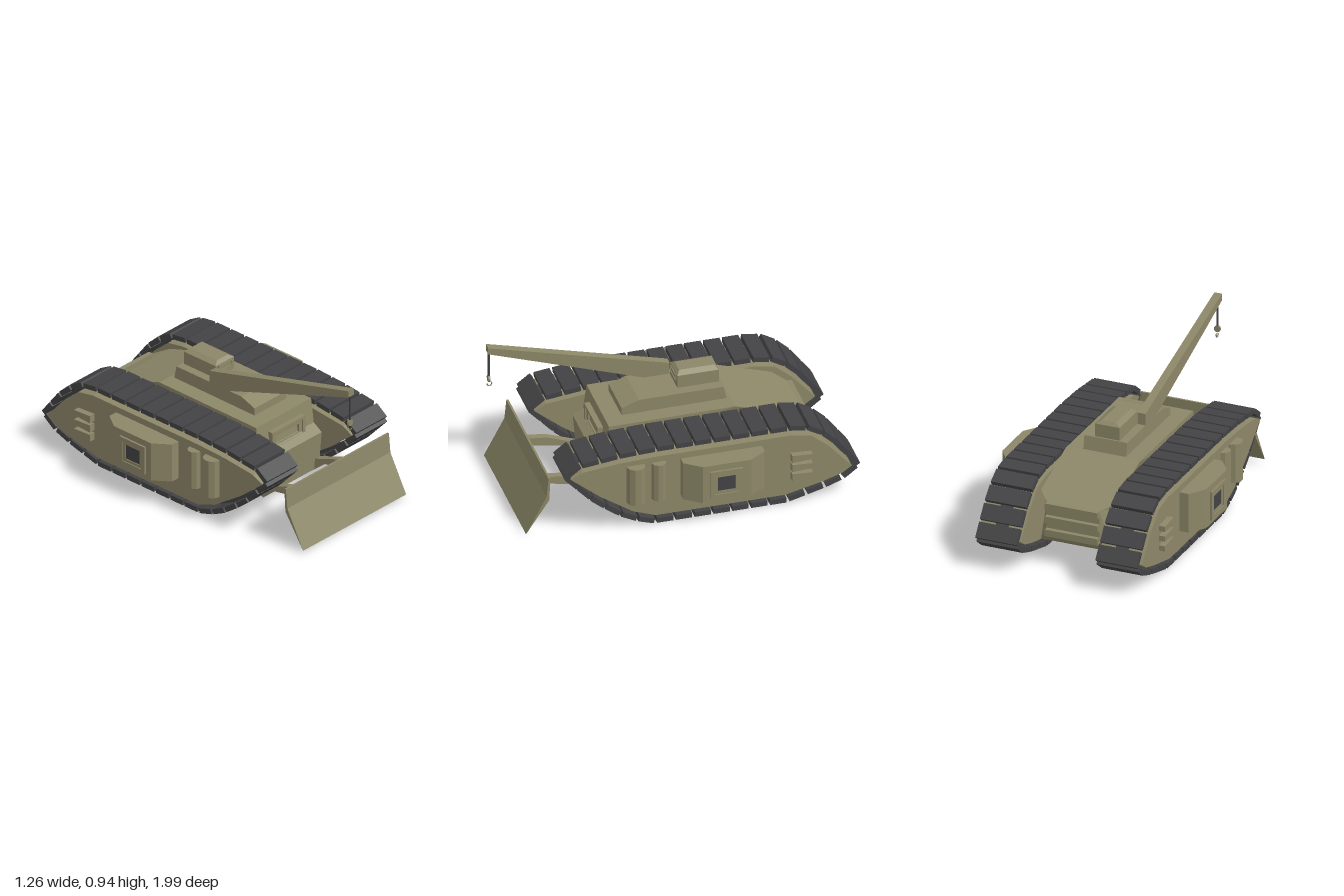
import * as THREE from 'three';

const olive = new THREE.MeshStandardMaterial({ color: 0x8c8768, flatShading: true });
const dark = new THREE.MeshStandardMaterial({ color: 0x434345, flatShading: true });

const polygon = (points) => new THREE.Shape(points.map(([a, b]) => new THREE.Vector2(a, b)));

// Side profile of (z, y) points, extruded from x0 to x1
function sideExtrude(shape, x0, x1) {
  const g = new THREE.ExtrudeGeometry(shape, { depth: x1 - x0, bevelEnabled: false });
  return g.rotateY(-Math.PI / 2).translate(x1, 0, 0);
}

// Plan of (x, z) points, extruded from y0 to y1
function planExtrude(shape, y0, y1) {
  const g = new THREE.ExtrudeGeometry(shape, { depth: y1 - y0, bevelEnabled: false });
  return g.rotateX(Math.PI / 2).translate(0, y1, 0);
}

function box(x0, x1, y0, y1, z0, z1) {
  return new THREE.BoxGeometry(x1 - x0, y1 - y0, z1 - z0)
    .translate((x0 + x1) / 2, (y0 + y1) / 2, (z0 + z1) / 2);
}

// Rectangle with a rectangular opening
function frameShape(a0, a1, b0, b1, t) {
  const s = polygon([[a0, b0], [a1, b0], [a1, b1], [a0, b1]]);
  s.holes.push(polygon([[a0 + t, b0 + t], [a0 + t, b1 - t], [a1 - t, b1 - t], [a1 - t, b0 + t]]));
  return s;
}

function add(parent, name, geometry, material = olive) {
  const mesh = new THREE.Mesh(geometry, material);
  mesh.name = name;
  parent.add(mesh);
  return mesh;
}

// Centre line of the track shoes, as (z, y)
const trackLine = [
  [0.715, 0.39], [0.64, 0.45], [0.4, 0.478], [0.2, 0.487], [-0.6, 0.487], [-0.72, 0.465],
  [-0.83, 0.37], [-0.975, 0.18], [-0.9, 0.118], [-0.78, 0.075], [-0.56, 0.016],
  [0.22, 0.016], [0.36, 0.07], [0.54, 0.2],
];
// Outline of the side pod inside the track
const podLine = [
  [0.69, 0.38], [0.62, 0.415], [0.4, 0.438], [0.2, 0.446], [-0.59, 0.446], [-0.7, 0.425],
  [-0.8, 0.34], [-0.935, 0.185], [-0.88, 0.147], [-0.77, 0.112], [-0.55, 0.06],
  [0.2, 0.06], [0.33, 0.108], [0.52, 0.238],
];

// Shift a clockwise loop inwards by d
function inset(points, d) {
  const n = points.length;
  return points.map((p, i) => {
    const a = points[(i + n - 1) % n], b = points[(i + 1) % n];
    const u = new THREE.Vector2(p[0] - a[0], p[1] - a[1]).normalize();
    const v = new THREE.Vector2(b[0] - p[0], b[1] - p[1]).normalize();
    const m = new THREE.Vector2(-u.y - v.y, u.x + v.x).normalize();
    const k = d / Math.max(0.5, m.x * -u.y + m.y * u.x);
    return [p[0] + m.x * k, p[1] + m.y * k];
  });
}

function buildTrack(parent) {
  const path = new THREE.CurvePath();
  trackLine.forEach((p, i) => {
    const q = trackLine[(i + 1) % trackLine.length];
    path.add(new THREE.LineCurve3(new THREE.Vector3(0.365, p[1], p[0]), new THREE.Vector3(0.365, q[1], q[0])));
  });
  const track = new THREE.Group();
  track.name = 'track';
  parent.add(track);

  // Shoes laid along the loop
  const count = 34, half = 0.43 / count;
  for (let i = 0; i < count; i++) {
    const t = (i + 0.5) / count;
    const a = path.getPoint(t - half), b = path.getPoint(t + half);
    const shoe = add(track, 'trackShoe', new THREE.BoxGeometry(0.25, 0.03, a.distanceTo(b)), dark);
    shoe.position.addVectors(a, b).multiplyScalar(0.5);
    shoe.rotation.x = -Math.atan2(b.y - a.y, b.z - a.z);
  }
  // Narrow chain under the shoes
  const chain = polygon(inset(trackLine, -0.012));
  chain.holes.push(polygon(inset(trackLine, -0.032)));
  add(track, 'trackChain', sideExtrude(polygonSafe(chain), 0.33, 0.4), dark);
}

// Pick the inward direction of the chain loop by the loop's own winding
function polygonSafe(shape) {
  const outer = shape.getPoints(), inner = shape.holes[0].getPoints();
  if (Math.abs(THREE.ShapeUtils.area(outer)) > Math.abs(THREE.ShapeUtils.area(inner))) return shape;
  const s = polygon(inset(trackLine, 0.012));
  s.holes.push(polygon(inset(trackLine, 0.032)));
  return s;
}

// Everything on the +x side; the other side is a half-turned and reversed copy
function buildSide() {
  const side = new THREE.Group();
  side.name = 'side';
  add(side, 'sidePod', sideExtrude(polygon(podLine), 0.235, 0.5));
  buildTrack(side);

  // Sponson with framed window
  add(side, 'sponson', planExtrude(polygon([
    [0.49, 0.055], [0.55, 0.055], [0.62, -0.04], [0.62, -0.32], [0.555, -0.415], [0.49, -0.415],
  ]), 0.17, 0.408));
  add(side, 'sponsonFrame', sideExtrude(frameShape(-0.27, -0.08, 0.195, 0.37, 0.025), 0.61, 0.632));
  add(side, 'sponsonInnerFrame', sideExtrude(frameShape(-0.247, -0.103, 0.217, 0.348, 0.02), 0.61, 0.626));
  add(side, 'sponsonWindow', box(0.6, 0.621, 0.235, 0.33, -0.23, -0.12), dark);

  // Upright drums on the pod
  for (const [z, r] of [[0.315, 0.054], [0.182, 0.042]]) {
    add(side, 'drum', new THREE.CylinderGeometry(r, r, 0.235, 10).translate(0.502, 0.292, z));
  }
  // Exhaust louvres
  for (const y of [0.19, 0.25, 0.31]) {
    add(side, 'louvre', sideExtrude(polygon([
      [-0.58, y - 0.023], [-0.58, y + 0.023], [-0.7, y + 0.016], [-0.7, y - 0.016],
    ]), 0.49, 0.537));
  }
  // Blade arm
  add(side, 'bladeArm', sideExtrude(polygon([
    [0.8, 0.245], [0.63, 0.225], [0.4, 0.14], [0.44, 0.08], [0.53, 0.155], [0.8, 0.205],
  ]), 0.185, 0.225));
  return side;
}

// Mirror geometry across x = 0 and restore the winding
function mirrorGeometry(source) {
  const g = source.index ? source.toNonIndexed() : source.clone();
  g.scale(-1, 1, 1);
  const p = g.attributes.position;
  const a = new THREE.Vector3(), b = new THREE.Vector3();
  for (let i = 0; i < p.count; i += 3) {
    a.fromBufferAttribute(p, i + 1);
    b.fromBufferAttribute(p, i + 2);
    p.setXYZ(i + 1, b.x, b.y, b.z);
    p.setXYZ(i + 2, a.x, a.y, a.z);
  }
  g.computeVertexNormals();
  return g;
}

export function createModel() {
  const model = new THREE.Group();
  model.name = 'armouredRecoveryVehicle';

  const left = buildSide();
  const right = left.clone();
  left.name = 'leftSide';
  right.name = 'rightSide';
  right.traverse((o) => {
    if (!o.isMesh) return;
    o.geometry = mirrorGeometry(o.geometry);
    o.position.x *= -1;
  });
  model.add(left, right);

  // Hull, narrowed at the tail
  const hull = sideExtrude(polygon([
    [0.45, 0.09], [0.2, 0.055], [-0.6, 0.065], [-0.68, 0.1], [-0.75, 0.2], [-0.75, 0.37],
    [-0.68, 0.4], [-0.34, 0.512], [0.39, 0.507], [0.41, 0.36], [0.47, 0.32],
  ]), -0.225, 0.225);
  const hp = hull.attributes.position;
  for (let i = 0; i < hp.count; i++) if (hp.getZ(i) < -0.7) hp.setX(i, hp.getX(i) * 0.71);
  hull.computeVertexNormals();
  add(model, 'hull', hull);
  for (const y of [0.35, 0.27, 0.19]) add(model, 'rearBar', box(-0.16, 0.16, y - 0.02, y + 0.02, -0.778, -0.72));
  add(model, 'hullCrossBeam', box(-0.235, 0.235, 0.1, 0.36, -0.6, 0.38));

  // Driver's window
  const frame = (a, y0, y1, t, z0, z1) => new THREE.ExtrudeGeometry(frameShape(-a, a, y0, y1, t),
    { depth: z1 - z0, bevelEnabled: false }).translate(0, 0, z0);
  add(model, 'driverFrame', frame(0.135, 0.33, 0.45, 0.018, 0.38, 0.43));
  add(model, 'driverInnerFrame', frame(0.117, 0.335, 0.435, 0.024, 0.38, 0.42));

  // Raised roof deck and cupola
  add(model, 'roofDeck', sideExtrude(polygon([
    [0.29, 0.5], [0.29, 0.553], [0.19, 0.59], [-0.3, 0.59], [-0.32, 0.5],
  ]), -0.13, 0.13));
  add(model, 'cupola', box(-0.08, 0.07, 0.58, 0.668, -0.29, -0.05));
  const cap = new THREE.BoxGeometry(0.15, 0.018, 0.24);
  const cp = cap.attributes.position;
  for (let i = 0; i < cp.count; i++) {
    if (cp.getY(i) > 0) cp.setXYZ(i, cp.getX(i) * 0.58, cp.getY(i), cp.getZ(i) * 0.84);
  }
  cap.computeVertexNormals();
  add(model, 'cupolaCap', cap.translate(-0.005, 0.677, -0.17));
  add(model, 'cupolaVisor', frame(0.055, 0.622, 0.662, 0.006, -0.052, -0.044).translate(-0.005, 0, 0));

  // Crane boom, chain, pulley and hook
  add(model, 'craneBoom', sideExtrude(polygon([
    [1.0, 0.945], [1.0, 0.905], [0.085, 0.585], [-0.05, 0.55], [-0.05, 0.66],
  ]), -0.13, -0.083));
  add(model, 'craneChain', new THREE.CylinderGeometry(0.006, 0.006, 0.2, 6).translate(-0.106, 0.82, 0.99), dark);
  add(model, 'cranePulley', new THREE.CylinderGeometry(0.02, 0.02, 0.012, 10)
    .rotateX(Math.PI / 2).translate(-0.106, 0.73, 0.99));
  add(model, 'craneHook', new THREE.TorusGeometry(0.013, 0.004, 6, 10, Math.PI * 1.4)
    .rotateZ(Math.PI * 0.9).rotateY(Math.PI / 2).translate(-0.106, 0.695, 0.986));

  // Dozer blade, bent forward at the lower half
  add(model, 'dozerBlade', sideExtrude(polygon([
    [0.785, 0.358], [0.797, 0.358], [0.808, 0.24], [0.927, 0.015], [0.793, 0.215],
  ]), -0.422, 0.422));
  return model;
}
